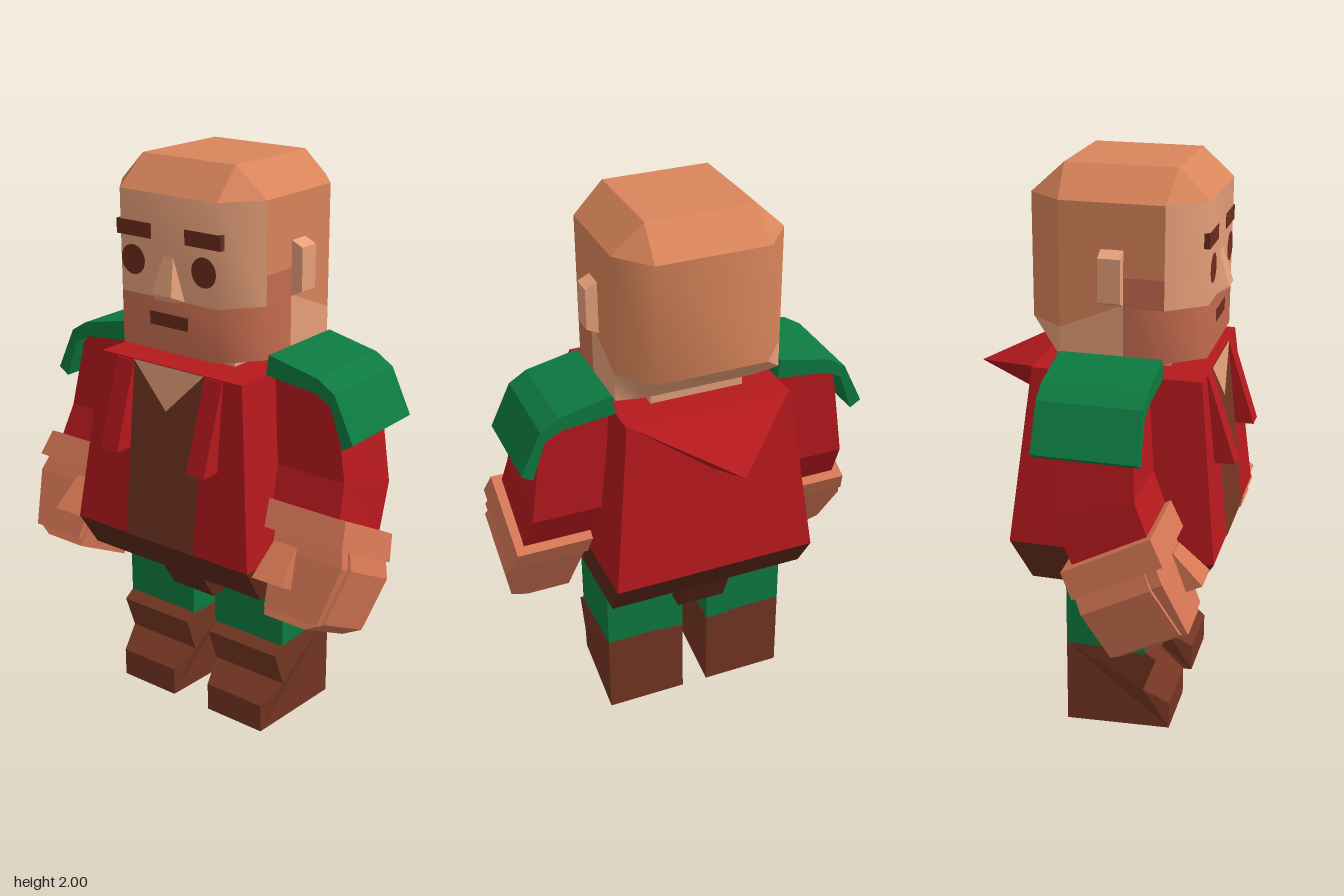
import * as THREE from 'three';
import { toCreasedNormals } from 'three/addons/utils/BufferGeometryUtils.js';

const C = {
  red: 0xb5191d, green: 0x0d7a40, skin: 0xe6a07a, scalp: 0xd9855a, beard: 0xc66c50,
  hand: 0xd47654, boot: 0x733522, vest: 0x733522, belt: 0x5a2818, dark: 0x6b2c1e,
};
const mat = (color, flat = true) =>
  new THREE.MeshStandardMaterial({ color, flatShading: flat, side: THREE.DoubleSide });

function add(parent, name, geo, color, flat = true) {
  const m = new THREE.Mesh(geo, mat(color, flat));
  m.name = name;
  parent.add(m);
  return m;
}

// Surface through rows of points; each row has the same count
function panel(rows, closed = false) {
  const pos = [];
  for (let r = 0; r < rows.length - 1; r++) {
    const a = rows[r], b = rows[r + 1], n = a.length;
    for (let i = 0; i < (closed ? n : n - 1); i++) {
      const j = (i + 1) % n;
      pos.push(...a[i], ...b[i], ...b[j], ...a[i], ...b[j], ...a[j]);
    }
  }
  const g = new THREE.BufferGeometry();
  g.setAttribute('position', new THREE.Float32BufferAttribute(pos, 3));
  g.computeVertexNormals();
  return g;
}

// Closed solid through rings listed from top to bottom
function loft(rings) {
  const cap = (ring) => {
    const c = [0, 1, 2].map((k) => ring.reduce((t, p) => t + p[k], 0) / ring.length);
    return ring.map(() => c);
  };
  return panel([cap(rings[0]), ...rings, cap(rings[rings.length - 1])], true);
}

// Rectangular ring; front and back edges may sit at different heights
const ring = (x0, x1, z0, z1, yBack, yFront = yBack) =>
  [[x0, yFront, z1], [x1, yFront, z1], [x1, yBack, z0], [x0, yBack, z0]];

// Outline in x,y extruded from z0 to z1
function slab(pts, z0, z1) {
  const s = new THREE.Shape(pts.map((p) => new THREE.Vector2(...p)));
  return new THREE.ExtrudeGeometry(s, { depth: z1 - z0, bevelEnabled: false }).translate(0, 0, z0);
}
// Outline in z,y extruded from x0 to x1
const sideSlab = (pts, x0, x1) =>
  slab(pts.map(([z, y]) => [-z, y]), x0, x1).rotateY(Math.PI / 2);

function buildHead() {
  const g = new THREE.Group();
  g.name = 'head';
  const walls = (name, rows, color) => add(g, name, toCreasedNormals(panel(rows), 0.9), color, false);
  const up = (pts, y) => pts.map(([x, z]) => [x, y, z]);
  const front = [[-0.3, 0.25], [-0.2, 0.375], [0.2, 0.375], [0.3, 0.25]];
  const back = [[0.3, -0.1], [0.2, -0.22], [-0.2, -0.22], [-0.3, -0.1]];
  const jaw = [[-0.3, 0.115], ...front, [0.3, 0.115]];
  walls('face', [up(front, 1.9), up(front, 1.56)], C.skin);
  walls('beard', [up(jaw, 1.56), up(jaw, 1.38)], C.beard);
  walls('backOfHead', [up(back, 1.9), up(back, 1.48)], C.scalp);
  const nape = [[0.3, -0.1], [0.2, -0.12], [-0.2, -0.12], [-0.3, -0.1]];
  walls('nape', [up(back, 1.48), up(nape, 1.38)], C.skin);
  for (const s of [-1, 1]) {
    const x = 0.3 * s;
    walls('sideburn', [[[x, 1.66, 0.25], [x, 1.66, 0.115]], [[x, 1.56, 0.25], [x, 1.56, 0.115]]], C.beard);
    walls('temple', [[[x, 1.9, 0.25], [x, 1.9, 0.115]], [[x, 1.66, 0.25], [x, 1.66, 0.115]]], C.scalp);
    walls('sideOfHead', [[[x, 1.9, 0.115], [x, 1.9, -0.1]], [[x, 1.57, 0.115], [x, 1.48, -0.1]]], C.scalp);
    walls('neckSide', [[[x, 1.57, 0.115], [x, 1.48, -0.1]], [[x, 1.38, 0.115], [x, 1.38, -0.1]]], C.skin);

    const ear = (px, y0, y1) => [[px, y0, 0.04], [px, y1, 0.04], [px, y1, 0.115], [px, y0, 0.115]];
    add(g, 'ear', loft([ear(s * 0.29, 1.56, 1.755), ear(s * 0.342, 1.585, 1.73)]), C.skin);
    add(g, 'eyebrow', new THREE.BoxGeometry(0.145, 0.05, 0.02).translate(s * 0.143, 1.775, 0.368), C.dark);
    add(g, 'eye', new THREE.CircleGeometry(0.05, 24).translate(s * 0.147, 1.672, 0.378), C.dark);
  }
  // Crown with bevelled edge
  const rim = [...front, ...back];
  const top = rim.map(([x, z]) => [Math.sign(x) * 0.19, z > 0 ? 0.268 : -0.11]);
  add(g, 'crown', panel([up(rim, 1.9), up(top, 2)], true), C.scalp);
  add(g, 'crownTop', new THREE.PlaneGeometry(0.38, 0.378).rotateX(-Math.PI / 2).translate(0, 2, 0.079), C.scalp);
  add(g, 'chin', panel([up(front, 1.38), up([...nape].reverse(), 1.38)]), C.beard);
  add(g, 'mouth', new THREE.PlaneGeometry(0.16, 0.045).translate(0, 1.488, 0.378), C.dark);
  // Nose widens downward and outward
  add(g, 'nose', loft([
    [[-0.02, 1.7, 0.376], [0.02, 1.7, 0.376], [0.025, 1.7, 0.37], [-0.025, 1.7, 0.37]],
    [[-0.04, 1.58, 0.412], [0.04, 1.58, 0.412], [0.07, 1.56, 0.37], [-0.07, 1.56, 0.37]],
    [[-0.04, 1.56, 0.4], [0.04, 1.56, 0.4], [0.07, 1.56, 0.37], [-0.07, 1.56, 0.37]],
  ]), C.skin);
  return g;
}

function buildTorso() {
  const g = new THREE.Group();
  g.name = 'torso';
  add(g, 'neck', new THREE.BoxGeometry(0.34, 0.1, 0.33).translate(0, 1.345, 0.08), C.skin);
  add(g, 'jacket', loft([ring(-0.3, 0.3, -0.2, 0.38, 1.33), ring(-0.375, 0.375, -0.27, 0.45, 0.71)]), C.red);
  add(g, 'belt', loft([ring(-0.375, 0.375, -0.27, 0.45, 0.71), ring(-0.37, 0.37, -0.19, 0.37, 0.58)]), C.belt);
  add(g, 'crotch', loft([ring(-0.09, 0.09, -0.19, 0.35, 0.59), ring(-0.09, 0.09, -0.13, 0.27, 0.46)]), C.belt);
  // Vest and open collar lie on the sloping chest
  const chest = (x, y, lift) => [x, y, 0.38 + (1.33 - y) * 0.113 + lift];
  add(g, 'vest', panel([
    [chest(-0.15, 1.33, 0.003), chest(0.15, 1.33, 0.003)],
    [chest(-0.15, 0.71, 0.003), chest(0.15, 0.71, 0.003)],
  ]), C.vest);
  add(g, 'openCollar', panel([
    [chest(-0.15, 1.33, 0.006), chest(0.15, 1.33, 0.006)],
    [chest(0, 1.18, 0.006), chest(0, 1.18, 0.006)],
  ]), C.skin);
  for (const s of [-1, 1]) {
    add(g, 'lapel', sideSlab([[0.36, 1.325], [0.385, 1.325], [0.485, 1.02], [0.4, 1.02]], -0.037, 0.037)
      .translate(s * 0.188, 0, 0), C.red);
  }
  // Hood hanging as a pointed wedge
  const tip = [0, 1.23, -0.485];
  add(g, 'hood', panel([
    [[-0.29, 1.33, -0.2], [0.29, 1.33, -0.2], [0, 1.11, -0.225]],
    [tip, tip, tip],
  ], true), C.red);
  return g;
}

function buildArm() {
  const g = new THREE.Group();
  g.name = 'arm';
  add(g, 'sleeve', loft([
    ring(0.305, 0.49, -0.05, 0.21, 1.325),
    ring(0.312, 0.55, -0.05, 0.21, 1.27),
    ring(0.335, 0.6, -0.05, 0.23, 0.93, 1.02),
    ring(0.36, 0.62, 0.04, 0.29, 0.76, 0.88),
  ]), C.red);
  add(g, 'shoulderPad', slab([
    [0.3, 1.33], [0.49, 1.31], [0.55, 1.28], [0.6, 1.14],
    [0.64, 1.165], [0.565, 1.32], [0.5, 1.36], [0.31, 1.4],
  ], -0.1, 0.25), C.green);

  // Cuff and fist share the forward tilt of the forearm
  const f = new THREE.Group();
  f.name = 'forearm';
  f.position.set(0, 0.8, 0.17);
  f.rotation.x = -0.49;
  add(f, 'cuff', loft([ring(0.35, 0.65, -0.168, 0.168, 0.05), ring(0.365, 0.67, -0.17, 0.17, -0.045)]), C.hand);
  add(f, 'hand', slab([
    [0.38, -0.03], [0.655, -0.03], [0.683, -0.1], [0.645, -0.29], [0.58, -0.325], [0.415, -0.325],
  ], -0.16, 0.1), C.hand);
  add(f, 'knuckles', loft([
    ring(0.385, 0.65, 0.09, 0.14, -0.03), ring(0.4, 0.67, 0.09, 0.14, -0.1),
    ring(0.42, 0.63, 0.09, 0.12, -0.3),
  ]), C.hand);
  add(f, 'thumb', loft([
    ring(0.4, 0.49, 0.08, 0.145, -0.08), ring(0.385, 0.505, 0.08, 0.19, -0.215),
  ]), C.hand);
  g.add(f);
  return g;
}

function buildLeg() {
  const g = new THREE.Group();
  g.name = 'leg';
  add(g, 'trouserLeg', new THREE.BoxGeometry(0.3, 0.3, 0.285).translate(0.2, 0.46, 0.0675), C.green);
  const boot = sideSlab([
    [-0.075, 0], [0.295, 0], [0.295, 0.105], [0.205, 0.165], [0.25, 0.295], [0.21, 0.32], [-0.075, 0.32],
  ], 0.05, 0.35);
  // Toe corners taper inward
  const p = boot.attributes.position;
  for (let i = 0; i < p.count; i++) {
    if (p.getZ(i) > 0.28) p.setX(i, p.getX(i) < 0.2 ? 0.08 : 0.32);
  }
  add(g, 'boot', boot, C.boot);
  return g;
}

export function createModel() {
  const model = new THREE.Group();
  model.name = 'figure';
  model.add(buildHead(), buildTorso());
  for (const s of [1, -1]) {
    const side = new THREE.Group();
    side.name = s > 0 ? 'leftLimbs' : 'rightLimbs';
    side.add(buildArm(), buildLeg());
    side.scale.x = s;
    model.add(side);
  }
  return model;
}
